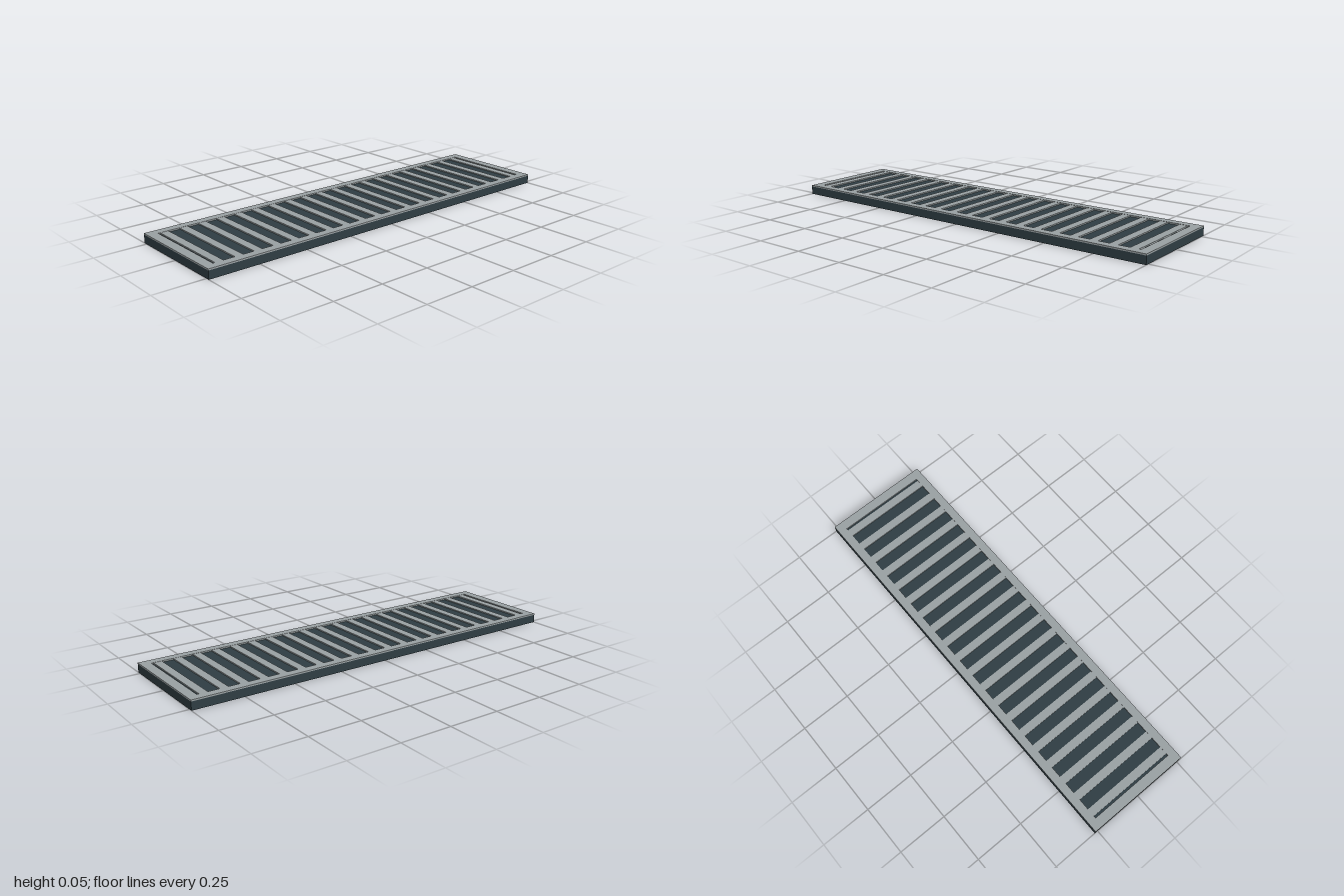
import * as THREE from 'three';

const steel = new THREE.MeshStandardMaterial({ name: 'grey steel', color: 0x9aa1a3 });
const dark = new THREE.MeshStandardMaterial({ name: 'dark slate', color: 0x2f3d43 });

const LENGTH = 2, WIDTH = 0.534, BASE_TOP = 0.04, TOP = 0.047;
const INNER_X = 0.953, INNER_Z = 0.226;
const SLATS = 20, PITCH = 0.097, SLAT_WIDTH = 0.04;

function rectangle(target, x, z) {
  target.moveTo(-x, -z);
  target.lineTo(x, -z);
  target.lineTo(x, z);
  target.lineTo(-x, z);
  target.closePath();
  return target;
}

export function createModel() {
  const model = new THREE.Group();
  model.name = 'ventGrate';

  // Solid dark tray under the slots
  const tray = new THREE.Mesh(new THREE.BoxGeometry(LENGTH, BASE_TOP, WIDTH), dark);
  tray.name = 'tray';
  tray.position.y = BASE_TOP / 2;
  model.add(tray);

  // Rim around the slot opening
  const outline = rectangle(new THREE.Shape(), LENGTH / 2, WIDTH / 2);
  outline.holes.push(rectangle(new THREE.Path(), INNER_X, INNER_Z));
  const rimGeometry = new THREE.ExtrudeGeometry(outline, { depth: TOP - BASE_TOP, bevelEnabled: false });
  rimGeometry.rotateX(-Math.PI / 2);
  const rim = new THREE.Mesh(rimGeometry, steel);
  rim.name = 'rim';
  rim.position.y = BASE_TOP;
  model.add(rim);

  // Evenly spaced cross slats
  const slats = new THREE.Group();
  slats.name = 'slats';
  const height = TOP - BASE_TOP - 0.001;
  const slatGeometry = new THREE.BoxGeometry(SLAT_WIDTH, height, INNER_Z * 2);
  for (let i = 0; i < SLATS; i++) {
    const slat = new THREE.Mesh(slatGeometry, steel);
    slat.name = 'slat';
    slat.position.set((i - (SLATS - 1) / 2) * PITCH, BASE_TOP + height / 2, 0);
    slats.add(slat);
  }
  model.add(slats);

  return model;
}
